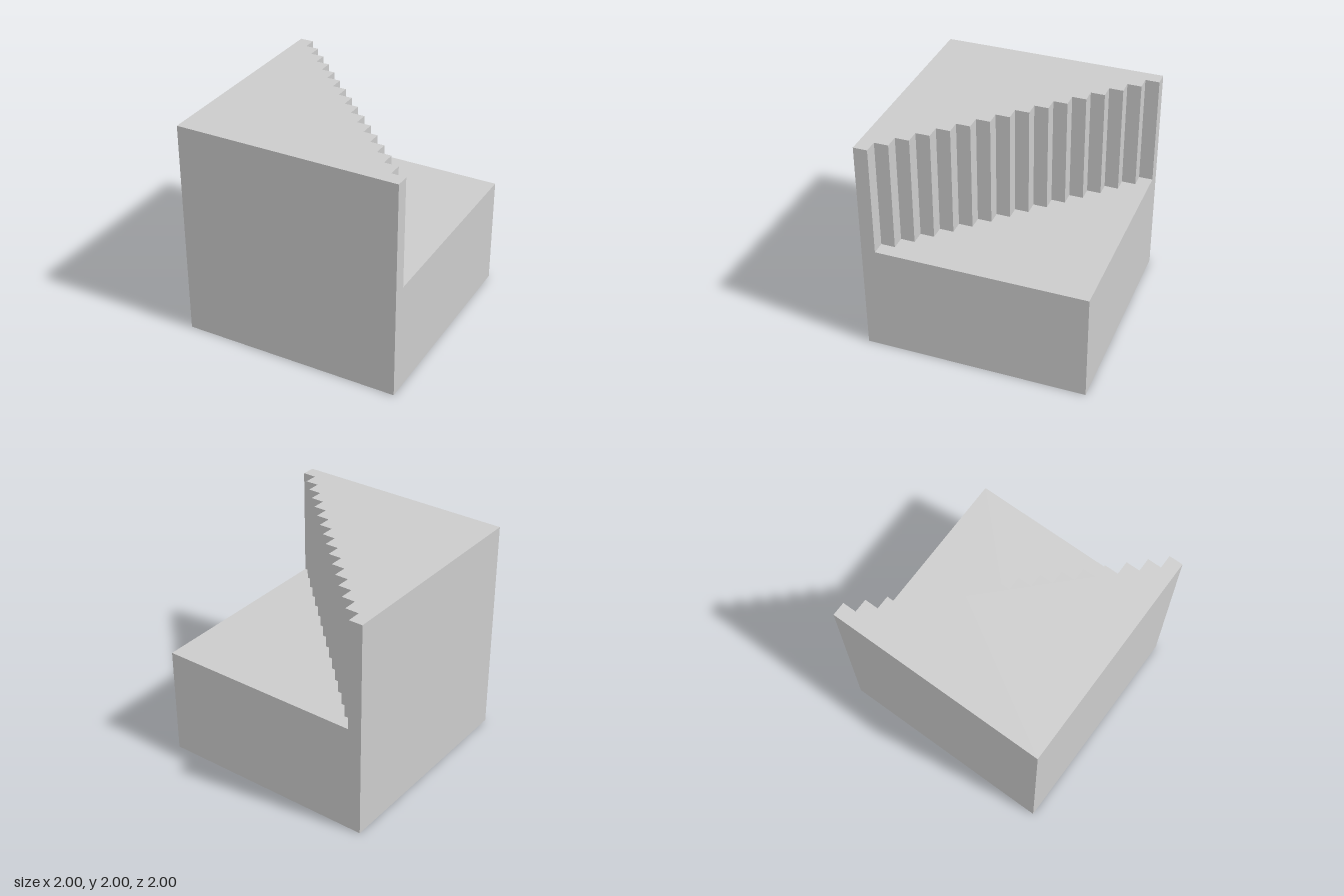
import * as THREE from 'three';

const STEPS = 16;
const SIZE = 2;
const HALF = SIZE / 2;

export function createModel() {
  const model = new THREE.Group();
  const material = new THREE.MeshStandardMaterial({ color: 0xcccccc, flatShading: true });

  const add = (name, geometry, y) => {
    const mesh = new THREE.Mesh(geometry, material);
    mesh.name = name;
    mesh.position.y = y;
    model.add(mesh);
  };

  // Square lower half
  add('base', new THREE.BoxGeometry(SIZE, 1, SIZE), 0.5);

  // Upper half: a triangular plan whose diagonal is cut into square steps
  const step = SIZE / STEPS;
  const plan = new THREE.Shape();
  plan.moveTo(-HALF, -HALF); // plan y is -z
  for (let i = STEPS; i > 0; i--) {
    const edge = -HALF + i * step;
    plan.lineTo(edge, -edge);
    plan.lineTo(edge, step - edge);
  }
  plan.lineTo(-HALF, HALF);
  plan.closePath();

  const upper = new THREE.ExtrudeGeometry(plan, { depth: 1, bevelEnabled: false });
  upper.rotateX(-Math.PI / 2);
  add('steppedUpperBlock', upper, 1);

  return model;
}
